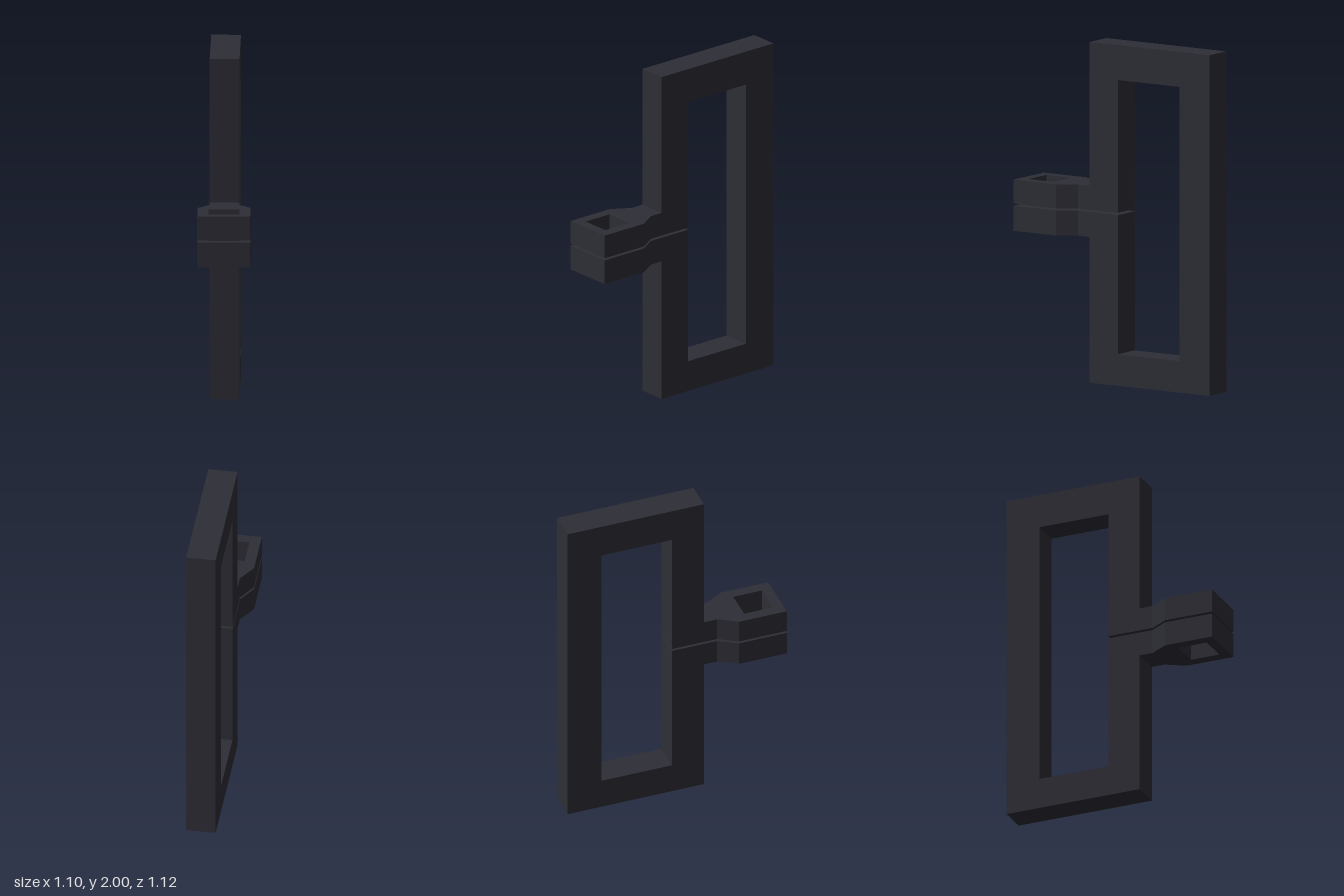
import * as THREE from 'three';

const toPath = (Type, pts) => {
  const p = new Type();
  pts.forEach(([x, y], i) => (i ? p.lineTo(x, y) : p.moveTo(x, y)));
  p.closePath();
  return p;
};

export function createModel() {
  const group = new THREE.Group();
  const darkGrey = new THREE.MeshStandardMaterial({ color: 0x2e2e36 });

  // everything is built along local x, then swung round to the diagonal
  const body = new THREE.Group();
  body.name = 'handleAndClamp';
  body.rotation.y = -(Math.PI / 4 + 0.0124);
  body.position.set(-0.003, 0, 0.003);
  group.add(body);

  const start = -0.701, end = 0.143;      // frame length
  const half = 0.0865;                    // half thickness of the frame
  const slit = [1.002, 1.015];            // gap through the inner bar

  // tall rectangular frame, slit through the bar that carries the jaws
  const frameShape = toPath(THREE.Shape, [
    [start, 0], [end, 0], [end, slit[0]], [-0.056, slit[0]], [-0.056, 0.185],
    [-0.492, 0.185], [-0.492, 1.795], [-0.056, 1.795], [-0.056, slit[1]],
    [end, slit[1]], [end, 2], [start, 2],
  ]);
  const frameGeo = new THREE.ExtrudeGeometry(frameShape, { depth: half * 2, bevelEnabled: false });
  frameGeo.translate(0, 0, -half);
  const frame = new THREE.Mesh(frameGeo, darkGrey);
  frame.name = 'frame';
  body.add(frame);

  // flared jaw plan with a square socket
  const side = [[end, half], [0.225, half], [0.334, 0.1535], [0.631, 0.1535]];
  const jawShape = toPath(THREE.Shape, [...side, ...side.map(([x, y]) => [x, -y]).reverse()]);
  jawShape.holes.push(toPath(THREE.Path, [[0.391, -0.09], [0.57, -0.09], [0.57, 0.09], [0.391, 0.09]]));

  // a jaw on each side of the slit
  for (const [name, y0, y1] of [['lowerJaw', 0.855, slit[0]], ['upperJaw', slit[1], 1.156]]) {
    const geo = new THREE.ExtrudeGeometry(jawShape, { depth: y1 - y0, bevelEnabled: false });
    geo.rotateX(-Math.PI / 2);
    const jaw = new THREE.Mesh(geo, darkGrey);
    jaw.name = name;
    jaw.position.y = y0;
    body.add(jaw);
  }
  return group;
}
